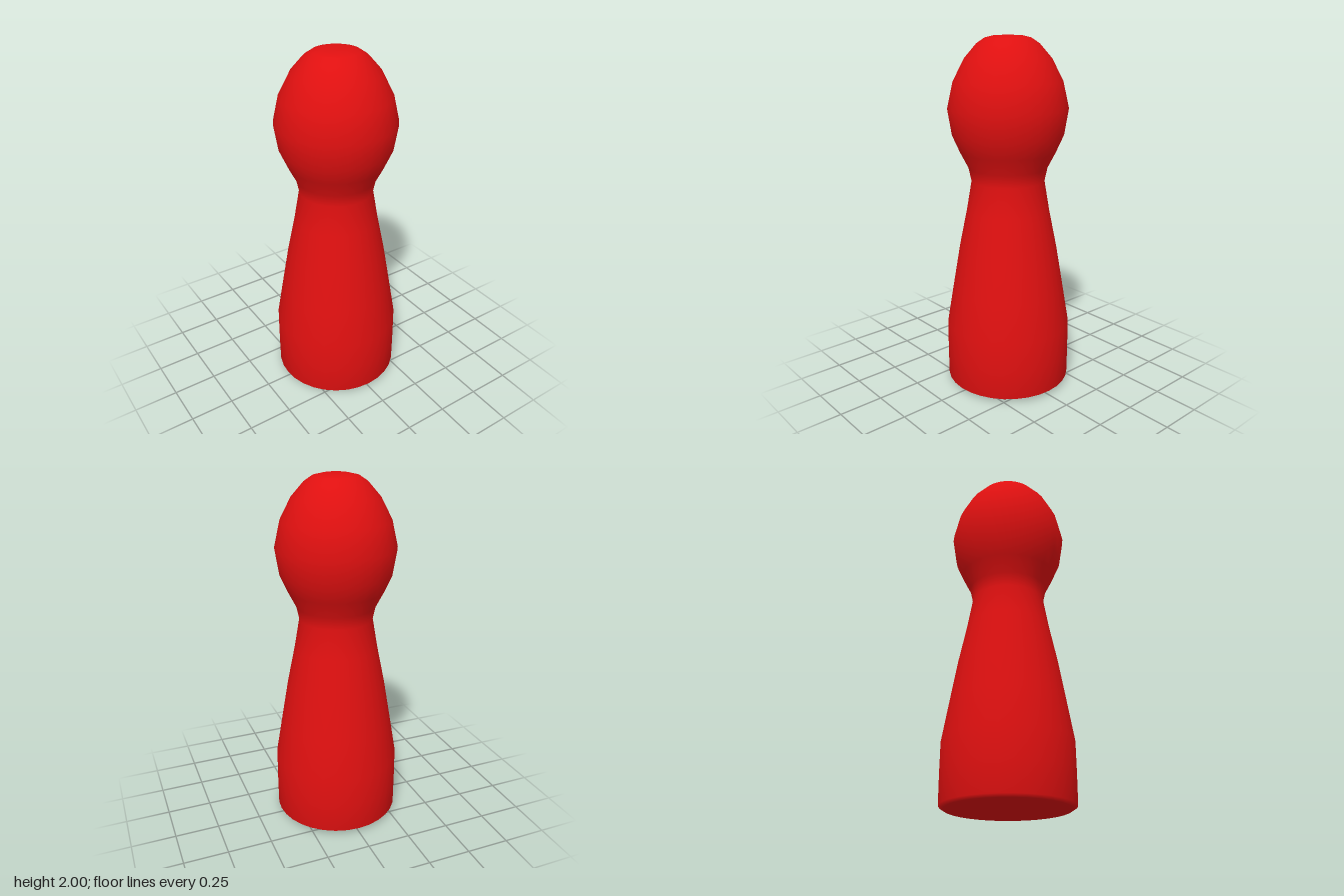
import * as THREE from 'three';

export function createModel() {
  const group = new THREE.Group();
  group.name = 'gamePawn';
  const material = new THREE.MeshStandardMaterial({ color: 0xe01010 });

  // Turned outline from the base centre up to the crown: [radius, height]
  const profile = [
    [0, 0], [0.29, 0.004], [0.335, 0.01], [0.358, 0.025], // rounded foot
    [0.359, 0.19], [0.358, 0.36],                         // straight base
    [0.321, 0.58], [0.28, 0.82], [0.235, 1.04],           // tapering body
    [0.206, 1.21], [0.222, 1.285],                        // neck
    [0.268, 1.375], [0.31, 1.47], [0.333, 1.615],         // head
    [0.3, 1.76], [0.238, 1.88], [0.17, 1.958],
    [0.125, 1.988], [0.075, 2], [0, 2],                   // flattened crown
  ].map(([r, y]) => new THREE.Vector2(r, y));

  const pawn = new THREE.Mesh(new THREE.LatheGeometry(profile, 32), material);
  pawn.name = 'pawnBody';
  group.add(pawn);
  return group;
}
